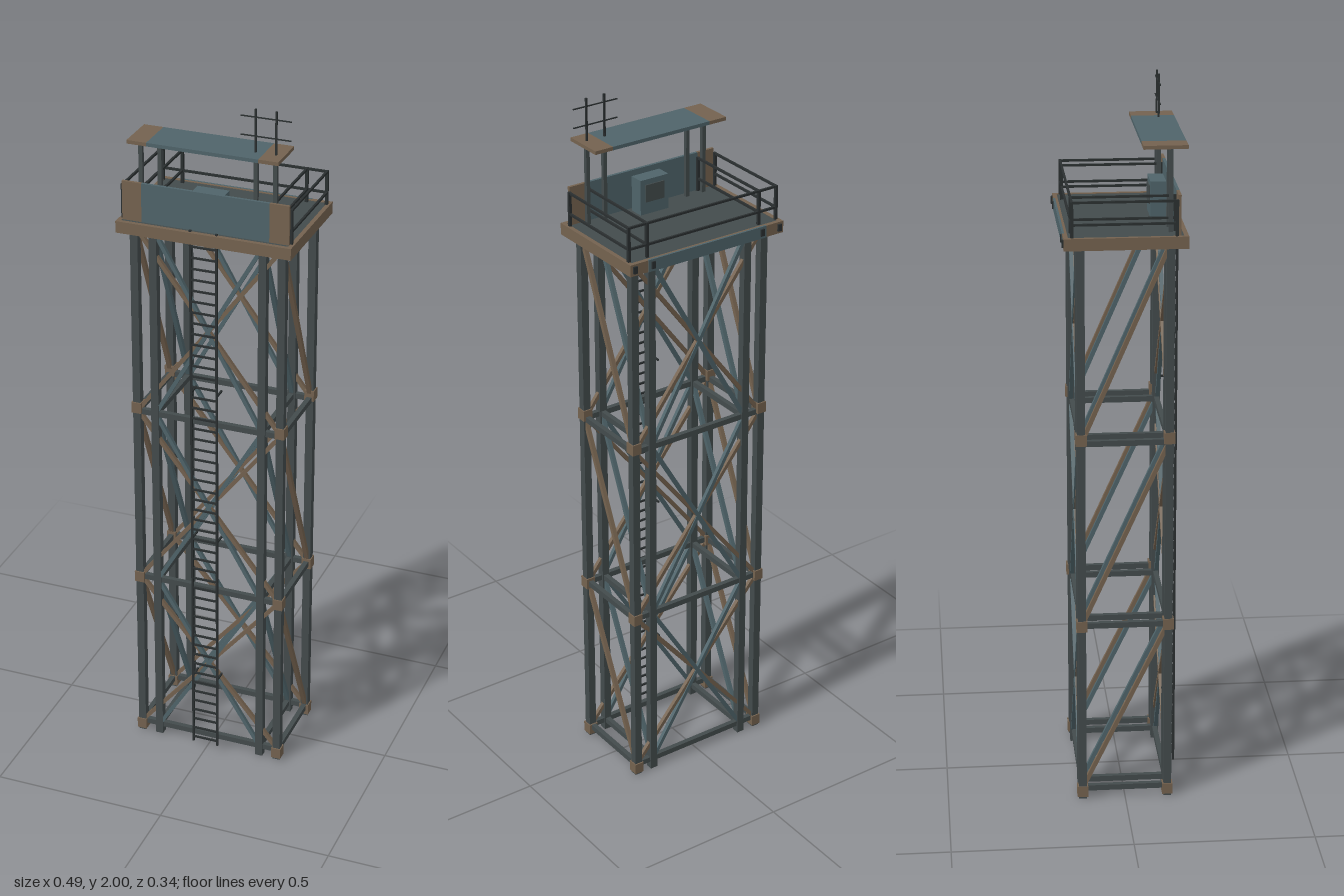
import * as THREE from 'three';

const mat = (name, color) => {
  const m = new THREE.MeshStandardMaterial({ color });
  m.name = name;
  return m;
};

export function createModel() {
  const teal = mat('tealPaint', 0x4f646a);
  const brown = mat('rustBrown', 0x74624f);
  const steel = mat('darkSteel', 0x434b4c);
  const black = mat('blackMetal', 0x2a2f30);

  const tower = new THREE.Group();
  tower.name = 'watchtower';
  const group = (name) => {
    const g = new THREE.Group();
    g.name = name;
    tower.add(g);
    return g;
  };
  const box = (parent, name, m, w, h, d, x, y, z) => {
    const mesh = new THREE.Mesh(new THREE.BoxGeometry(w, h, d), m);
    mesh.name = name;
    mesh.position.set(x, y, z);
    parent.add(mesh);
    return mesh;
  };
  // Square bar running between two points
  const bar = (parent, name, m, t, a, b) => {
    const p = new THREE.Vector3(...a), q = new THREE.Vector3(...b);
    const mesh = box(parent, name, m, t, t, p.distanceTo(q), 0, 0, 0);
    mesh.position.copy(p).add(q).multiplyScalar(0.5);
    mesh.lookAt(q);
    return mesh;
  };

  const OUT = 0.21, IN = 0.156, Z = 0.12;
  const levels = [0.03, 0.53, 1.065, 1.62];
  const frame = group('frame');

  // Paired legs at each corner, with joint blocks on the outer ones
  for (const sx of [-1, 1]) for (const sz of [-1, 1]) {
    for (const x of [OUT, IN]) box(frame, 'leg', steel, 0.022, 1.62, 0.022, sx * x, 0.81, sz * Z);
    for (const y of [0.022, 0.53, 1.077])
      box(frame, 'jointBlock', brown, 0.028, 0.032, 0.03, sx * OUT, y, sz * Z);
  }

  // Horizontal beams
  for (const y of levels.slice(0, 3)) {
    for (const s of [-1, 1]) {
      box(frame, 'longBeam', steel, 2 * OUT, 0.016, 0.014, 0, y, s * Z);
      for (const x of [OUT, IN]) box(frame, 'sideBeam', steel, 0.014, 0.016, 2 * Z, s * x, y, 0);
    }
  }

  // Cross braces on the long faces, single diagonals on the sides
  for (let i = 0; i < 3; i++) {
    const lo = levels[i], hi = levels[i + 1];
    for (const [x, m, off] of [[OUT, brown, 0], [IN, teal, 0.003]]) {
      for (const s of [-1, 1]) {
        for (const sz of [-1, 1])
          bar(frame, 'crossBrace', m, 0.011, [-s * x, lo, sz * (Z + off)], [s * x, hi, sz * (Z + off)]);
        bar(frame, 'sideBrace', m, 0.012, [s * x, lo, -Z], [s * x, hi, Z]);
      }
    }
  }

  // Ladder
  const ladder = group('ladder');
  for (const s of [-1, 1]) {
    box(ladder, 'ladderRail', black, 0.006, 1.63, 0.006, s * 0.037, 0.835, 0.156);
    for (const y of [0.25, 0.71, 1.17])
      box(ladder, 'ladderBracket', black, 0.005, 0.005, 0.036, s * 0.037, y, 0.138);
  }
  for (let i = 0; i < 50; i++)
    box(ladder, 'rung', black, 0.074, 0.005, 0.005, 0, 0.035 + i * 0.032, 0.156);

  // Platform with a rust rim, deck and underside
  const platform = group('platform');
  box(platform, 'platformSlab', steel, 0.47, 0.03, 0.306, 0, 1.629, 0);
  for (const s of [-1, 1]) {
    box(platform, 'endRim', brown, 0.012, 0.033, 0.33, s * 0.241, 1.629, 0);
    box(platform, 'longRim', brown, 0.47, 0.033, 0.012, 0, 1.629, s * 0.159);
  }
  box(platform, 'backTrim', teal, 0.38, 0.034, 0.006, 0, 1.629, -0.163);
  box(platform, 'underside', teal, 0.38, 0.004, 0.306, 0, 1.613, 0);

  // Guard rails around three sides, doubled at the ends
  const rails = group('guardRails');
  for (const s of [-1, 1]) {
    for (const x of [0.237, 0.18]) {
      for (const z of [-0.143, 0.134])
        box(rails, 'railPost', black, 0.008, 0.1, 0.008, s * x, 1.693, z);
      for (const y of [1.68, 1.74])
        box(rails, 'sideRail', black, 0.006, 0.006, 0.28, s * x, y, -0.004);
      box(rails, 'postFoot', black, 0.012, 0.02, 0.006, s * (x - 0.004), 1.63, -0.167);
    }
  }
  for (const y of [1.68, 1.74])
    box(rails, 'backRail', black, 0.48, 0.006, 0.006, 0, y, -0.143);

  // Front shield
  const shield = group('frontShield');
  box(shield, 'shieldMiddle', teal, 0.36, 0.11, 0.008, 0, 1.7, 0.141);
  for (const s of [-1, 1])
    box(shield, 'shieldEnd', brown, 0.055, 0.11, 0.008, s * 0.2075, 1.7, 0.141);

  // Control cabinet
  const cabinet = group('cabinet');
  box(cabinet, 'cabinetBody', teal, 0.09, 0.1, 0.042, 0, 1.695, 0.103);
  box(cabinet, 'cabinetPanel', steel, 0.06, 0.05, 0.004, 0, 1.705, 0.081);

  // Canopy on four posts
  const canopy = group('canopy');
  box(canopy, 'canopyMiddle', teal, 0.31, 0.01, 0.118, 0, 1.876, 0.106);
  for (const s of [-1, 1]) {
    box(canopy, 'canopyEnd', brown, 0.055, 0.01, 0.118, s * 0.1825, 1.876, 0.106);
    for (const x of [0.188, 0.134])
      box(canopy, 'canopyPost', steel, 0.011, 0.23, 0.011, s * x, 1.758, 0.122);
  }

  // Antenna masts and crossbars
  const antenna = group('antenna');
  for (const x of [0.132, 0.188]) box(antenna, 'mast', black, 0.005, 0.125, 0.005, x, 1.9375, 0.121);
  for (const y of [1.925, 1.977]) box(antenna, 'crossbar', black, 0.138, 0.003, 0.003, 0.16, y, 0.121);

  return tower;
}
